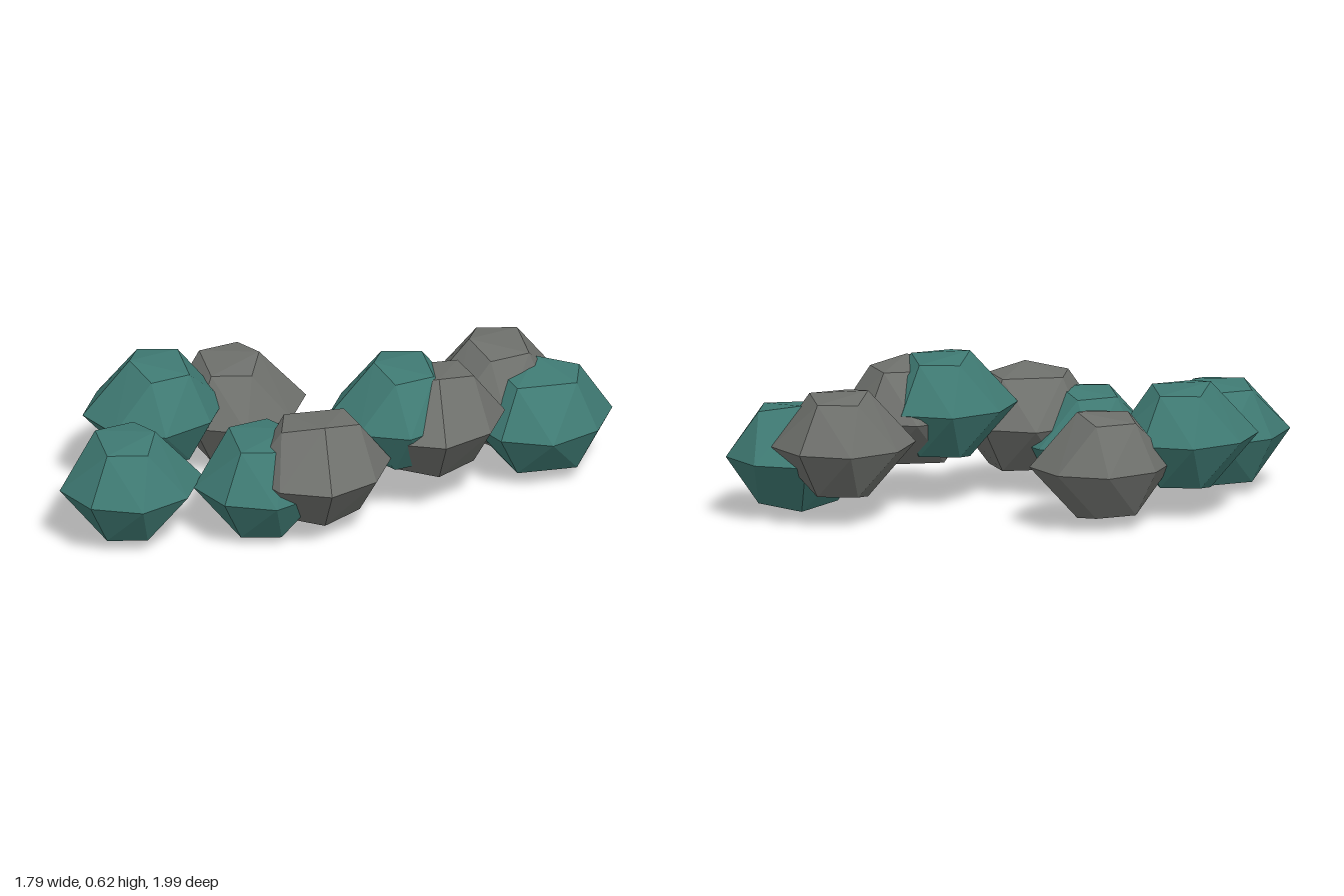
import * as THREE from 'three';
import { ConvexGeometry } from 'three/addons/geometries/ConvexGeometry.js';

// Faceted pebble: octagonal waist with a lopsided cap, mirrored top and bottom
function pebbleGeometry(sx, sz) {
  const points = [];
  for (let i = 0; i < 8; i++) {
    const a = (i * Math.PI) / 4;
    const r = i % 2 ? 1.04 : 1;
    points.push(new THREE.Vector3(0.27 * r * Math.cos(a), 0, 0.295 * r * Math.sin(a)));
  }
  // Cap corners: x, height, z
  const cap = [[0.07, 0.216, 0.07], [0, 0.187, -0.175], [-0.17, 0.187, 0], [0.135, 0.187, -0.085], [-0.085, 0.187, 0.15]];
  for (const [x, y, z] of cap) {
    for (const side of [1, -1]) points.push(new THREE.Vector3(x * sx, y * side, z * sz));
  }
  return new ConvexGeometry(points);
}

export function createModel() {
  const group = new THREE.Group();
  group.name = 'pebbleCluster';
  const teal = new THREE.MeshStandardMaterial({ color: 0x3f7a73, flatShading: true });
  const grey = new THREE.MeshStandardMaterial({ color: 0x6e706c, flatShading: true });

  // Centre x, y, z, then which way the peak leans in x and z, then colour
  const pebbles = [
    [-0.43, 0.24, 0.70, 1, -1, teal],
    [-0.63, 0.33, 0.22, -1, 1, teal],
    [-0.47, 0.25, -0.13, 1, -1, grey],
    [-0.02, 0.22, 0.35, 1, -1, teal],
    [0.18, 0.29, 0.255, 1, 1, grey],
    [0.285, 0.405, -0.16, -1, 1, teal],
    [0.41, 0.37, -0.23, 1, 1, grey],
    [0.39, 0.32, -0.70, -1, 1, grey],
    [0.62, 0.25, -0.695, -1, -1, teal],
  ];
  pebbles.forEach(([x, y, z, sx, sz, material], i) => {
    const pebble = new THREE.Mesh(pebbleGeometry(sx, sz), material);
    pebble.name = (material === teal ? 'tealPebble' : 'greyPebble') + (i + 1);
    pebble.position.set(x, y, z);
    group.add(pebble);
  });
  return group;
}
